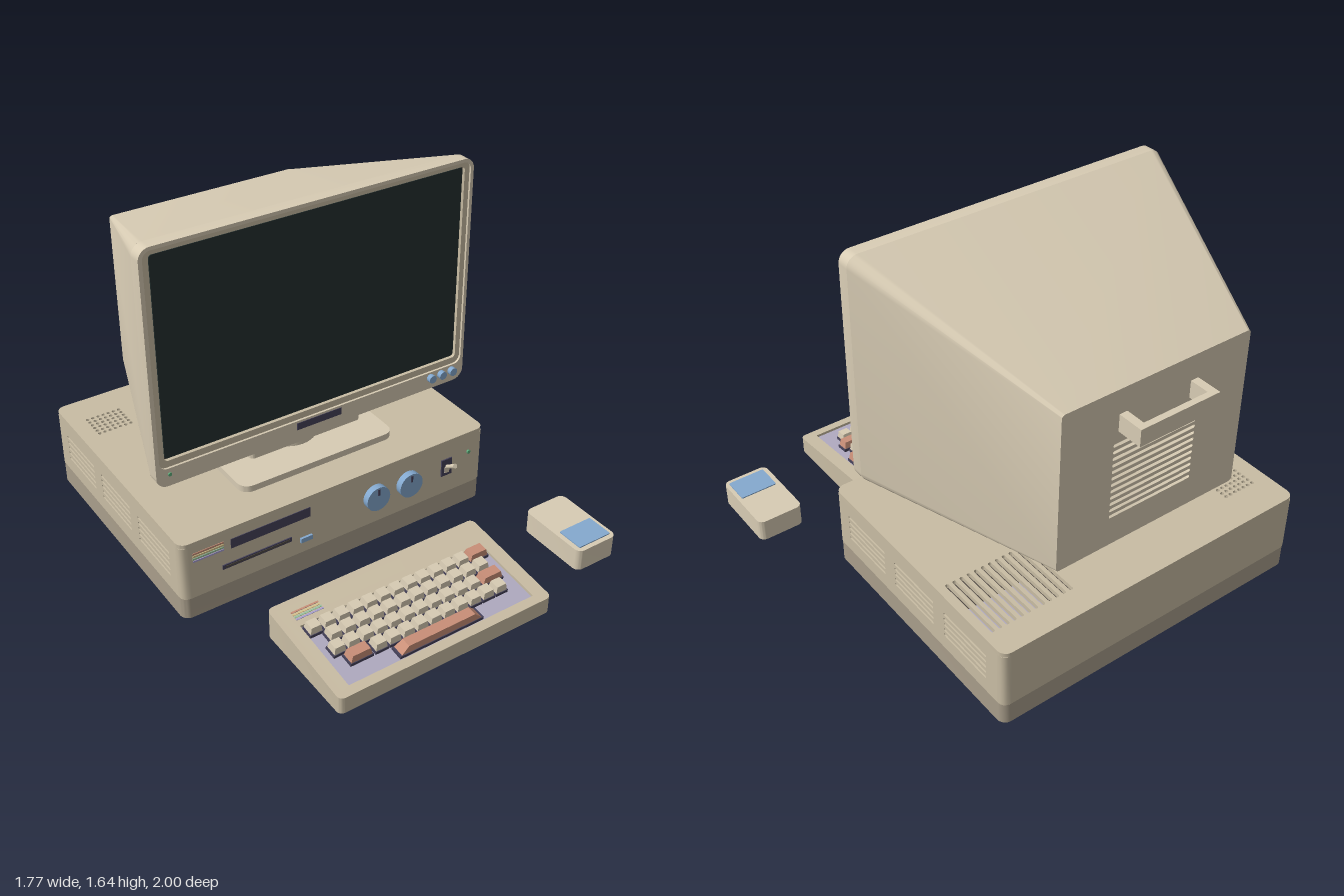
import * as THREE from 'three';
import { toCreasedNormals } from 'three/addons/utils/BufferGeometryUtils.js';

const mat = (color) => new THREE.MeshStandardMaterial({ color });
const M = {
  cream: mat(0xd8ccb4), tan: mat(0xc9bda4), band: mat(0xa99e8b), dark: mat(0x4f4843),
  ink: mat(0x46425a), lavender: mat(0xb0aac0), salmon: mat(0xc98f78), blue: mat(0x84a9cf),
  green: mat(0x45675a), screen: mat(0x24302f), led: mat(0x5fae7c), yellow: mat(0xd8c48c),
  mint: mat(0x9cc4a0), lilac: mat(0xa9a0d0),
};

// Rounded rectangle, counter-clockwise
function rr(x0, x1, y0, y1, r, Kind = THREE.Shape) {
  const s = new Kind(), q = Math.PI / 2;
  s.moveTo(x0 + r, y0);
  s.lineTo(x1 - r, y0); s.absarc(x1 - r, y0 + r, r, -q, 0);
  s.lineTo(x1, y1 - r); s.absarc(x1 - r, y1 - r, r, 0, q);
  s.lineTo(x0 + r, y1); s.absarc(x0 + r, y1 - r, r, q, 2 * q);
  s.lineTo(x0, y0 + r); s.absarc(x0 + r, y0 + r, r, 2 * q, 3 * q);
  return s;
}
const hole = (...a) => rr(...a, THREE.Path);
function withHoles(shape, ...holes) { shape.holes.push(...holes); return shape; }
const extrude = (shape, depth) =>
  new THREE.ExtrudeGeometry(shape, { depth, bevelEnabled: false, curveSegments: 4 });

function add(parent, name, geo, material, x = 0, y = 0, z = 0) {
  const m = new THREE.Mesh(geo, material);
  m.name = name;
  m.position.set(x, y, z);
  parent.add(m);
  return m;
}
// Extrusion facing the front, between two z values
const plate = (p, name, shape, z0, z1, m) => add(p, name, toCreasedNormals(extrude(shape, z1 - z0), 0.6), m, 0, 0, z0);
// Extrusion of a plan outline (x, z), between two heights
const slabGeo = (shape, y0, y1) => extrude(shape, y1 - y0).rotateX(Math.PI / 2).translate(0, y1, 0);
const slab = (p, name, shape, y0, y1, m) => add(p, name, toCreasedNormals(slabGeo(shape, y0, y1), 0.6), m);
// Box given by its extents
const box = (p, name, m, x0, x1, y0, y1, z0, z1) =>
  add(p, name, new THREE.BoxGeometry(x1 - x0, y1 - y0, z1 - z0), m, (x0 + x1) / 2, (y0 + y1) / 2, (z0 + z1) / 2);
const knob = (p, name, m, x, y, z0, z1, r) =>
  add(p, name, new THREE.CylinderGeometry(r, r, z1 - z0, 28).rotateX(Math.PI / 2), m, x, y, (z0 + z1) / 2);

function group(parent, name) {
  const g = new THREE.Group();
  g.name = name;
  parent.add(g);
  return g;
}

function buildCase(root) {
  const g = group(root, 'computerCase');
  const X0 = -0.89, X1 = 0.65, Z0 = -0.97, Z1 = 0.225, t = 0.04;
  slab(g, 'bottomPlate', rr(X0 + 0.01, X1 - 0.01, Z0 + 0.01, Z1 - 0.01, 0.035), 0.018, 0.04, M.dark);
  slab(g, 'lowerBand', withHoles(rr(X0, X1, Z0, Z1, t), hole(X0 + 0.03, X1 - 0.03, Z0 + 0.03, Z1 - 0.03, 0.02)), 0.02, 0.12, M.band);

  // Front and back walls with rounded outer corners
  for (const [name, zo, s] of [['frontWall', Z1, -1], ['backWall', Z0, 1]]) {
    const sh = new THREE.Shape(), zi = zo + s * t;
    sh.moveTo(X0, zi);
    sh.quadraticCurveTo(X0, zo, X0 + t, zo);
    sh.lineTo(X1 - t, zo);
    sh.quadraticCurveTo(X1, zo, X1, zi);
    slab(g, name, sh, 0.12, 0.38, M.tan);
  }
  // Side walls with three groups of through slots
  for (const x of [X0, X1 - 0.02]) {
    const sh = rr(-Z1 + t, -Z0 - t, 0.12, 0.38, 0.0001);
    for (const u of [-0.126, 0.228, 0.58])
      for (let i = 0; i < 5; i++) sh.holes.push(hole(u, u + 0.28, 0.188 + i * 0.0285, 0.2 + i * 0.0285, 0.005));
    add(g, 'sideWall', extrude(sh, 0.02).rotateY(Math.PI / 2), M.tan, x);
  }
  // Top with vent slots and a speaker grid
  const top = rr(X0, X1, Z0, Z1, t);
  for (let i = 0; i < 12; i++) {
    const x = 0.603 - i * 0.0345;
    top.holes.push(hole(x - 0.008, x + 0.008, -0.847, -0.534, 0.007));
  }
  for (let i = 0; i < 7; i++)
    for (let j = 0; j < 6; j++) {
      const h = new THREE.Path();
      h.absarc(-0.806 + i * 0.0255, -0.805 + j * 0.0255, 0.009, 0, Math.PI * 2);
      top.holes.push(h);
    }
  slab(g, 'top', top, 0.38, 0.4, M.tan);
  box(g, 'speaker', M.ink, -0.83, -0.63, 0.365, 0.379, -0.83, -0.65);
  box(g, 'powerUnit', M.lavender, 0.18, 0.62, 0.05, 0.16, -0.88, -0.5);

  // Front fittings
  [M.salmon, M.yellow, M.mint, M.lilac].forEach((m, i) =>
    box(g, 'stripe', m, -0.835, -0.693, 0.338 - i * 0.0125, 0.346 - i * 0.0125, 0.22, 0.228));
  box(g, 'driveBay', M.ink, -0.66, -0.277, 0.296, 0.343, 0.215, 0.228);
  box(g, 'diskSlot', M.ink, -0.703, -0.371, 0.205, 0.226, 0.215, 0.23);
  box(g, 'diskSlotOpening', M.dark, -0.69, -0.384, 0.211, 0.22, 0.22, 0.232);
  box(g, 'ejectButton', M.blue, -0.33, -0.272, 0.178, 0.2, 0.215, 0.236);
  for (const x of [0.055, 0.23]) {
    knob(g, 'dial', M.blue, x, 0.262, 0.22, 0.256, 0.06);
    box(g, 'dialPointer', M.ink, x - 0.005, x + 0.005, 0.282, 0.314, 0.25, 0.259);
  }
  box(g, 'switchPlate', M.ink, 0.414, 0.471, 0.218, 0.304, 0.215, 0.231);
  const lever = add(g, 'switchLever', new THREE.CylinderGeometry(0.011, 0.008, 0.075, 12), M.cream, 0.442, 0.282, 0.258);
  lever.rotation.x = 1.0;
  box(g, 'switchCollar', M.cream, 0.43, 0.454, 0.235, 0.265, 0.225, 0.236);
  knob(g, 'powerLight', M.led, 0.565, 0.296, 0.22, 0.232, 0.009);
  for (const x of [-0.785, 0.545])
    for (const z of [0.16, -0.86])
      add(g, 'foot', new THREE.CylinderGeometry(0.03, 0.03, 0.022, 20), M.dark, x, 0.011, z);
}

function buildStand(root) {
  const g = group(root, 'monitorStand');
  slab(g, 'standBase', rr(-0.504, 0.267, -0.458, 0.067, 0.05), 0.4, 0.43, M.cream);
  add(g, 'standNeck', new THREE.CylinderGeometry(0.125, 0.125, 0.05, 36), M.cream, -0.119, 0.453, -0.198);
  slab(g, 'standCradle', rr(-0.4, 0.158, -0.356, -0.04, 0.02), 0.475, 0.53, M.cream);
  add(g, 'tiltBarrel', new THREE.CylinderGeometry(0.143, 0.143, 0.42, 40).rotateZ(Math.PI / 2), M.cream, -0.12, 0.648, -0.198);
}

function buildMonitor(root) {
  const g = group(root, 'monitor');
  const outer = [-0.885, 0.645, 0.577, 1.637], rear = [-0.574, 0.341, 0.585, 1.32];
  // Tapered housing lofted between two outlines
  const a = rr(...outer, 0.05).getPoints(5), b = rr(...rear, 0.015).getPoints(5);
  const pos = [], idx = [];
  a.forEach((p, i) => {
    pos.push(p.x, p.y, 0, b[i].x, b[i].y, -0.882);
    if (i < a.length - 1) { const k = 2 * i; idx.push(k, k + 1, k + 2, k + 2, k + 1, k + 3); }
  });
  const loft = new THREE.BufferGeometry();
  loft.setAttribute('position', new THREE.Float32BufferAttribute(pos, 3));
  loft.setIndex(idx);
  const shell = M.cream.clone();
  shell.side = THREE.DoubleSide;
  add(g, 'housing', toCreasedNormals(loft, 0.6), shell);

  // Back panel with vent slots and a board behind them
  const back = rr(...rear, 0.015);
  for (let i = 0; i < 12; i++) back.holes.push(hole(-0.325, 0.09, 0.72 + i * 0.031, 0.735 + i * 0.031, 0.006));
  plate(g, 'backPanel', back, -0.884, -0.864, M.cream);
  box(g, 'circuitBoard', M.green, -0.42, 0.18, 0.66, 1.14, -0.83, -0.82);
  const grip = new THREE.Shape();
  [[-0.315, -0.88], [-0.315, -1], [0.071, -1], [0.071, -0.88], [0.034, -0.88], [0.034, -0.972], [-0.278, -0.972], [-0.278, -0.88]]
    .forEach(([x, z], i) => (i ? grip.lineTo(x, z) : grip.moveTo(x, z)));
  slab(g, 'handle', grip, 1.13, 1.207, M.cream);

  // Stepped bezel and screen
  plate(g, 'bezel', withHoles(rr(...outer, 0.05), hole(-0.868, 0.63, 0.66, 1.622, 0.035)), 0, 0.056, M.cream);
  plate(g, 'innerFrame', withHoles(rr(-0.87, 0.632, 0.658, 1.624, 0.035), hole(-0.84, 0.606, 0.69, 1.6, 0.015)), 0, 0.046, M.tan);
  plate(g, 'screenGasket', rr(-0.842, 0.608, 0.688, 1.602, 0.015), 0, 0.03, M.dark);
  plate(g, 'screen', rr(-0.834, 0.6, 0.696, 1.594, 0.015), 0.01, 0.038, M.screen);
  box(g, 'namePlate', M.ink, -0.23, -0.008, 0.617, 0.65, 0.05, 0.059);
  for (const x of [0.466, 0.523, 0.58]) knob(g, 'controlKnob', M.blue, x, 0.633, 0.05, 0.078, 0.019);
  knob(g, 'monitorLight', M.led, -0.826, 0.633, 0.05, 0.062, 0.008);
}

function buildKeyboard(root) {
  const g = group(root, 'keyboard');
  const slope = 0.105, topY = (z) => 0.083 + (0.995 - z) * slope;
  // Raises the top of a plan extrusion to the sloping surface
  const wedge = (name, shape, y0) => {
    const geo = slabGeo(shape, y0, 1), p = geo.attributes.position;
    for (let i = 0; i < p.count; i++) if (p.getY(i) > 0.5) p.setY(i, topY(p.getZ(i)));
    add(g, name, toCreasedNormals(geo, 0.6), M.tan);
  };
  const inner = [-0.618, 0.38, 0.492, 0.97, 0.01];
  wedge('keyboardRim', withHoles(rr(-0.643, 0.405, 0.467, 0.995, 0.025), hole(...inner)), 0.005);
  wedge('keyboardDeck', withHoles(rr(...inner), hole(-0.574, 0.341, 0.608, 0.952, 0.004)), 0.04);
  box(g, 'keyboardBoard', M.green, -0.618, 0.38, 0.032, 0.042, 0.492, 0.97);
  for (const x of [-0.54, 0.3]) box(g, 'keyboardFoot', M.dark, x - 0.06, x + 0.06, 0.004, 0.035, 0.5, 0.56);

  // Sloping key field
  const deck = group(g, 'keyField');
  deck.position.set(0, 0.083, 0.995);
  deck.rotation.x = Math.atan(slope);
  const lz = (z) => (z - 0.995) * Math.hypot(1, slope);
  box(deck, 'keyPlate', M.lavender, -0.574, 0.341, -0.025, -0.012, lz(0.608), lz(0.952));
  const cap = toCreasedNormals(new THREE.CylinderGeometry(0.57, 0.7071, 1, 4).rotateY(Math.PI / 4), 0.2);
  const key = (x0, x1, z, m) => {
    const x = (x0 + x1) / 2, w = x1 - x0;
    box(deck, 'keySocket', M.ink, x0 - 0.003, x1 + 0.003, -0.013, 0.002, lz(z) - 0.03, lz(z) + 0.03);
    add(deck, 'key', cap, m, x, 0.015, lz(z)).scale.set(w, 0.036, 0.055);
  };
  const rows = [[0.646, -0.537, 12], [0.711, -0.484, 12], [0.778, -0.513, 11], [0.844, -0.362, 10]];
  for (const [z, x, n] of rows)
    for (let i = 0; i < n; i++) key(x + i * 0.067 - 0.028, x + i * 0.067 + 0.028, z, M.cream);
  for (const [x0, x1, z] of [[0.235, 0.327, 0.646], [0.198, 0.3, 0.778], [-0.508, -0.405, 0.844], [-0.32, 0.087, 0.912]])
    key(x0, x1, z, M.salmon);
  [M.salmon, M.yellow, M.mint, M.lilac].forEach((m, i) =>
    box(deck, 'keyboardStripe', m, -0.57, -0.44, -0.002, 0.002, lz(0.53 + i * 0.013), lz(0.538 + i * 0.013)));
}

function buildMouse(root) {
  const g = group(root, 'mouse');
  slab(g, 'mouseBody', rr(0.667, 0.883, 0.522, 0.872, 0.03), 0.005, 0.108, M.cream);
  slab(g, 'mouseButton', rr(0.69, 0.865, 0.722, 0.85, 0.006), 0.1, 0.113, M.blue);
  add(g, 'ballRing', new THREE.CylinderGeometry(0.05, 0.05, 0.01, 24), M.dark, 0.775, 0.007, 0.7);
  const ball = add(g, 'ball', new THREE.SphereGeometry(0.028, 20, 12), M.lavender, 0.775, 0.008, 0.7);
  ball.scale.y = 0.28;
}

export function createModel() {
  const root = new THREE.Group();
  root.name = 'desktopComputer';
  buildCase(root);
  buildStand(root);
  buildMonitor(root);
  buildKeyboard(root);
  buildMouse(root);
  return root;
}
